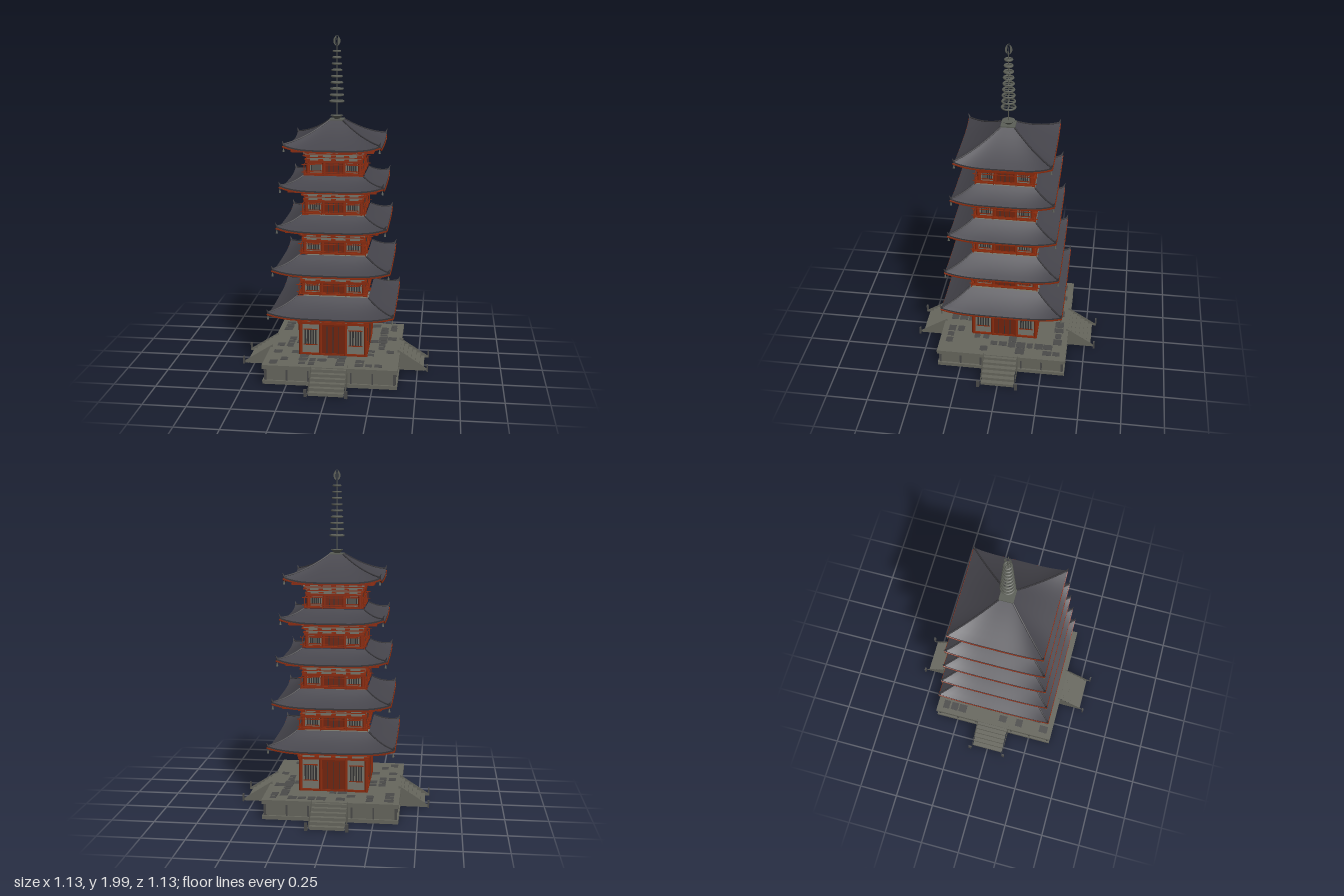
import * as THREE from 'three';

const flat = (name, color, side = THREE.FrontSide) => {
  const m = new THREE.MeshStandardMaterial({ color, side });
  m.name = name;
  return m;
};

export function createModel() {
  const stone = flat('stone', 0x66665d, THREE.DoubleSide), darkStone = flat('dark stone', 0x4a4a49);
  const red = flat('red timber', 0x8a2a0c), doorRed = flat('door red', 0x74240d);
  const plaster = flat('plaster', 0x77766c), shade = flat('window dark', 0x343334);
  const tile = flat('roof tile', 0x45444b), ridgeMat = flat('ridge tile', 0x38373b);
  const bronze = flat('bronze', 0x5c5f57, THREE.DoubleSide);
  const model = new THREE.Group();
  model.name = 'pagoda';

  const add = (parent, name, geo, mat, x = 0, y = 0, z = 0) => {
    const m = new THREE.Mesh(geo, mat);
    m.name = name;
    m.position.set(x, y, z);
    parent.add(m);
    return m;
  };
  const box = (parent, name, mat, w, h, d, x, y, z) =>
    add(parent, name, new THREE.BoxGeometry(w, h, d), mat, x, y + h / 2, z);
  // Repeats a builder on all four sides
  const fourSides = (parent, name, build) => {
    for (let k = 0; k < 4; k++) {
      const g = new THREE.Group();
      g.name = name;
      g.rotation.y = k * Math.PI / 2;
      parent.add(g);
      build(g);
    }
  };
  // Curved sheet from a rule point(u, v), u in -1..1 and v in 0..1
  const sheet = (point, nu, nv) => {
    const pos = [], idx = [];
    for (let j = 0; j <= nv; j++)
      for (let i = 0; i <= nu; i++) pos.push(...point(i / nu * 2 - 1, j / nv));
    for (let j = 0; j < nv; j++)
      for (let i = 0; i < nu; i++) {
        const a = j * (nu + 1) + i, b = a + 1, c = b + nu + 1, d = a + nu + 1;
        idx.push(a, b, c, a, c, d);
      }
    const g = new THREE.BufferGeometry();
    g.setAttribute('position', new THREE.Float32BufferAttribute(pos, 3));
    g.setIndex(idx);
    g.computeVertexNormals();
    return g;
  };
  let seed = 7;
  const rand = () => (seed = (seed * 16807) % 2147483647) / 2147483647;

  // Stone platform with irregular paving
  const base = new THREE.Group();
  base.name = 'platform';
  model.add(base);
  box(base, 'platformCore', stone, 0.76, 0.09, 0.76, 0, 0.015, 0);
  box(base, 'platformFoot', stone, 0.785, 0.022, 0.785, 0, 0.008, 0);
  box(base, 'platformCap', stone, 0.79, 0.025, 0.79, 0, 0.1, 0);
  for (let i = 0; i < 13; i++)
    for (let j = 0; j < 13; j++)
      if (rand() < 0.45 && Math.max(Math.abs(i - 6), Math.abs(j - 6)) > 3)
        box(base, 'pavingSlab', darkStone, 0.035 + rand() * 0.022, 0.002, 0.035 + rand() * 0.022,
          (i - 6) * 0.056, 0.1245, (j - 6) * 0.056);

  // Stairs of thin treads and risers between sloping side walls
  const wing = new THREE.Shape([[0.38, 0.015], [0.56, 0.015], [0.56, 0.028], [0.385, 0.14], [0.38, 0.14]]
    .map(p => new THREE.Vector2(...p)));
  const wingGeo = new THREE.ShapeGeometry(wing).rotateY(-Math.PI / 2);
  fourSides(base, 'stairs', g => {
    for (let i = 0; i < 6; i++) {
      const y = 0.12 - i * 0.018, z = 0.4 + i * 0.025;
      box(g, 'tread', stone, 0.2, 0.004, 0.025, 0, y - 0.004, z);
      box(g, 'riser', stone, 0.2, 0.018, 0.004, 0, y - 0.018, z + 0.0105);
    }
    for (const s of [-1, 1]) {
      add(g, 'stairWall', wingGeo, stone, s * 0.105);
      box(g, 'stairPost', darkStone, 0.018, 0.045, 0.01, s * 0.115, 0.015, 0.56);
    }
    for (let i = -3; i <= 3; i++)
      box(g, 'platformPilaster', darkStone, 0.01, 0.07, 0.01, i * 0.125, 0.03, 0.38);
  });

  // Storeys: wall half width, floor, eave height, eave half width, roof top and its half width
  const storeys = [
    [0.195, 0.125, 0.395, 0.362, 0.495, 0.21],
    [0.18, 0.495, 0.648, 0.336, 0.742, 0.197],
    [0.17, 0.742, 0.895, 0.312, 0.978, 0.185],
    [0.16, 0.978, 1.13, 0.294, 1.208, 0.175],
    [0.15, 1.208, 1.36, 0.274, 1.512, 0.04],
  ];
  storeys.forEach(([w, floor, eave, e, top, t], n) => {
    const s = new THREE.Group();
    s.name = 'storey' + (n + 1);
    model.add(s);
    const beam = n === 0 ? 0.33 : floor + 0.085, h = beam - floor;
    box(s, 'wall', plaster, 2 * w, eave + 0.01 - floor, 2 * w, 0, floor, 0);

    // Stepped brackets under the eaves
    const stepH = (eave - beam) / 3;
    for (let i = 0; i < 3; i++) {
      const r = w + 0.004 + i * 0.011, y = beam + i * stepH;
      box(s, 'bracketCourse', plaster, 2 * r, stepH, 2 * r, 0, y, 0);
      box(s, 'bracketBeam', red, 2 * r + 0.014, 0.005, 2 * r + 0.014, 0, y + stepH - 0.006, 0);
    }

    // Rules for the upswept roof, its edge and its underside
    const thick = 0.012;
    const curve = (u, v) => 0.03 * Math.abs(u) ** 4 * (1 - v) ** 2;
    const roof = (u, v) => {
      const r = e + (t - e) * v;
      return [u * r, eave + thick + (top - eave - thick) * (0.72 * v + 0.28 * v * v) + curve(u, v), r];
    };
    const edge = (u, v) => [u * e, eave + thick * v + curve(u, 0), e];
    const soffit = (u, v) => {
      const r = w + 0.02 + (e - w - 0.02) * v;
      return [u * r, eave + curve(u, 1 - v), r];
    };
    const trimProfile = [[-0.005, -0.004], [0.004, -0.004], [0.004, 0.003], [-0.004, 0.003]];
    const trim = (u, v) => {
      const [out, up] = trimProfile[Math.round(v * 3)];
      return [u * (e + out), eave + up + curve(u, 0), e + out];
    };

    fourSides(s, 'side', g => {
      // Columns, beams and door
      for (const x of [-1, -0.38, 0.38, 1])
        add(g, 'column', new THREE.CylinderGeometry(0.011, 0.011, h, 10), red, x * w, floor + h / 2, w);
      box(g, 'topBeam', red, 2 * w + 0.03, 0.013, 0.016, 0, beam - 0.013, w + 0.002);
      box(g, 'sill', red, 2 * w + 0.01, 0.012, 0.014, 0, floor, w + 0.002);
      box(g, 'door', doorRed, 0.7 * w, h, 0.008, 0, floor, w + 0.002);
      for (const x of [-1, 0, 1])
        box(g, 'doorSeam', shade, 0.004, h * 0.8, 0.003, x * w * 0.18, floor + h * 0.08, w + 0.0065);
      // Barred windows
      for (const side of [-1, 1]) {
        const ww = w * 0.38, wh = h * 0.44, wy = floor + h * 0.32;
        for (let i = 0; i < 5; i++)
          box(g, 'windowBar', shade, ww * 0.12, wh, 0.006, side * w * 0.69 + (i - 2) * ww * 0.21, wy, w + 0.002);
        for (const y of [wy - 0.005, wy + wh])
          box(g, 'windowFrame', red, ww + 0.01, 0.005, 0.008, side * w * 0.69, y, w + 0.002);
      }
      // Bracket arms
      for (let i = 0; i < 5; i++)
        for (let k = 0; k < 3; k++)
          box(g, 'bracketArm', red, 0.026, 0.007, 0.024, (i - 2) / 2 * w, beam + k * stepH + 0.003, w + 0.006 + k * 0.011);
      // Balcony railing
      if (n > 0) {
        const r = w + 0.02;
        for (const y of [0.018, 0.062])
          box(g, 'rail', red, 2 * r + 0.03, 0.004, 0.004, 0, floor + y, r);
        for (const x of [-1, -0.38, 0.38, 1])
          box(g, 'railPost', red, 0.005, 0.064, 0.005, x * r, floor, r);
        box(g, 'balconyFloor', red, 2 * r, 0.006, 0.025, 0, floor + 0.004, w + 0.009);
      }
      // Roof slope, eave edge, red trim and underside
      add(g, 'roofSlope', sheet(roof, 16, 6), tile);
      add(g, 'eaveEdge', sheet(edge, 16, 1), ridgeMat);
      add(g, 'soffit', sheet(soffit, 16, 3), plaster);
      const trimGeo = sheet(trim, 16, 3).toNonIndexed();
      trimGeo.computeVertexNormals();
      add(g, 'eaveTrim', trimGeo, red);
      // Short rafters and the purlins that carry them
      const z1 = w + (e - w) * 0.66;
      for (let i = -6; i <= 6; i++) {
        const x = i / 6.5 * z1, z0 = Math.max(w + 0.03, Math.abs(x));
        box(g, 'rafter', red, 0.008, 0.007, z1 - z0, x, eave - 0.006, (z0 + z1) / 2);
      }
      for (const z of [z1, (z1 + w + 0.03) / 2])
        box(g, 'purlin', red, 2 * z, 0.008, 0.01, 0, eave - 0.008, z);
      // Hip ridge, corner finial and wind bell
      const hip = [0, 0.2, 0.4, 0.6, 0.8, 1].map(v => new THREE.Vector3(...roof(1, v)));
      add(g, 'hipRidge', new THREE.TubeGeometry(new THREE.CatmullRomCurve3(hip), 14, 0.005, 6), ridgeMat);
      const c = roof(1, 0);
      const tip = add(g, 'cornerFinial', new THREE.ConeGeometry(0.008, 0.03, 6), ridgeMat, c[0], c[1] + 0.01, c[2]);
      tip.rotation.set(0.35, 0, -0.35);
      add(g, 'windBell', new THREE.CylinderGeometry(0.003, 0.007, 0.018, 8), bronze, c[0] - 0.003, eave + 0.008, c[2] - 0.003);
      add(g, 'bellRod', new THREE.CylinderGeometry(0.0015, 0.0015, 0.024, 5), bronze, c[0] - 0.003, eave + 0.026, c[2] - 0.003);
    });
  });

  // Spire with nine rings and a flame crown
  const spire = new THREE.Group();
  spire.name = 'spire';
  model.add(spire);
  box(spire, 'spireBase', bronze, 0.084, 0.012, 0.084, 0, 1.506, 0);
  add(spire, 'spireBowl', new THREE.CylinderGeometry(0.038, 0.016, 0.02, 16), bronze, 0, 1.528, 0);
  add(spire, 'spireRod', new THREE.CylinderGeometry(0.002, 0.003, 0.42, 8), bronze, 0, 1.745, 0);
  for (let i = 0; i < 9; i++) {
    const r = 0.039 - i * 0.0024, y = 1.62 + i * 0.036;
    const ring = add(spire, 'spireRing', new THREE.TorusGeometry(r, 0.006, 6, 20), bronze, 0, y, 0);
    ring.rotation.x = Math.PI / 2;
    for (const turn of [0, Math.PI / 2])
      box(spire, 'ringSpoke', bronze, 2 * r, 0.004, 0.006, 0, y - 0.002, 0).rotation.y = turn;
  }
  const flame = new THREE.Shape();
  flame.moveTo(0.004, 1.935);
  flame.quadraticCurveTo(0.038, 1.965, 0.003, 2);
  flame.quadraticCurveTo(0.012, 1.965, 0.004, 1.935);
  const flameGeo = new THREE.ShapeGeometry(flame, 8);
  fourSides(spire, 'flameCrown', g => add(g, 'flame', flameGeo, bronze));
  return model;
}
